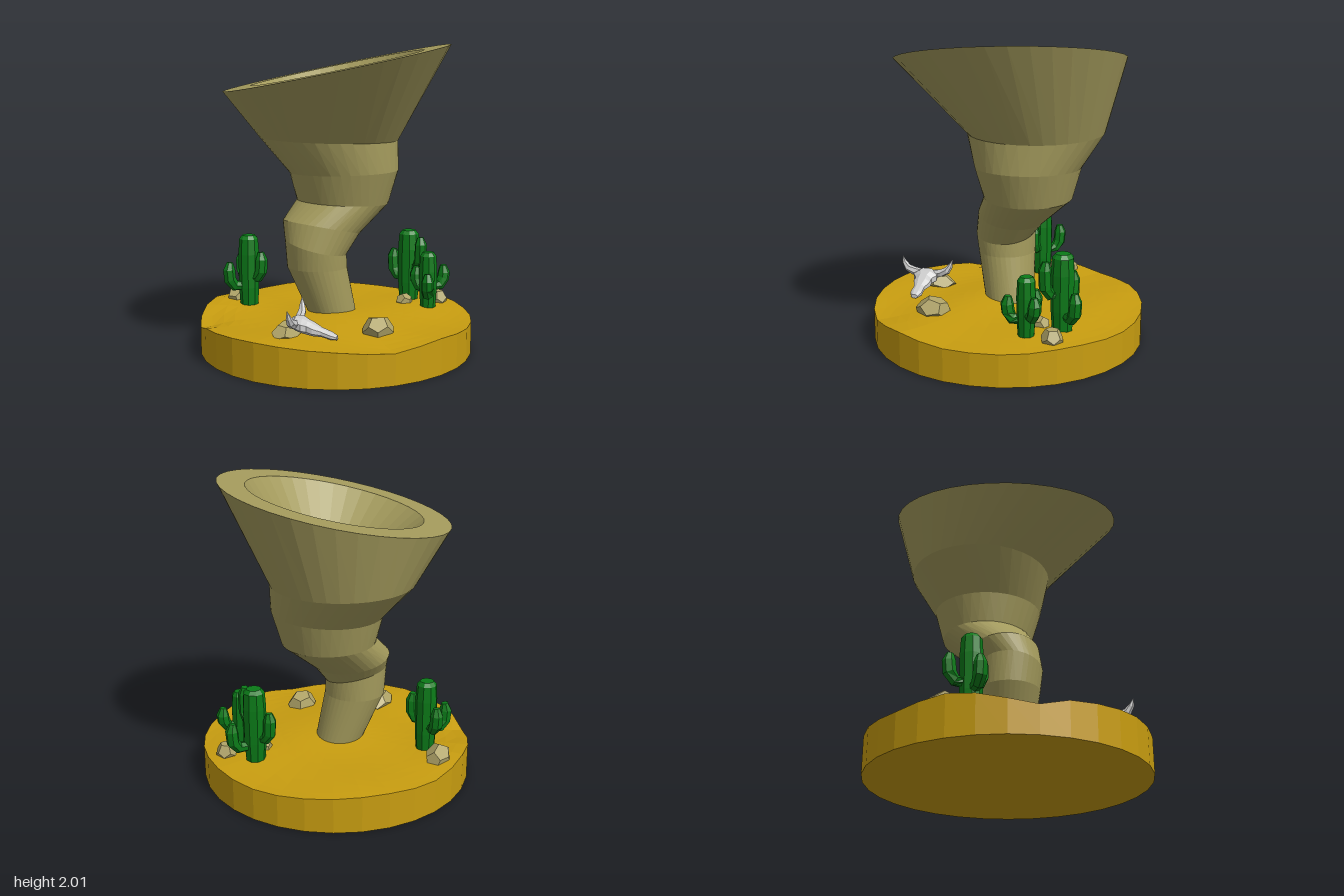
import * as THREE from 'three';

const V = (x, y, z) => new THREE.Vector3(x, y, z);
const mat = (color) => new THREE.MeshStandardMaterial({ color, flatShading: true });
const TAN = mat(0xa39a5c), SAND = mat(0xc89d10), GREEN = mat(0x0b7a18), ROCK = mat(0xb0a468), BONE = mat(0xcccccc);

// Skin a list of equal-sized loops; both ends are closed by fans (endPoint moves the last fan's centre).
function loft(name, rings, material, endPoint) {
  const n = rings[0].length, pos = [], idx = [];
  const mid = (ring) => ring.reduce((s, p) => s.add(p), V(0, 0, 0)).divideScalar(n);
  rings.forEach((ring) => ring.forEach((p) => pos.push(p.x, p.y, p.z)));
  const last = rings.length - 1, c0 = rings.length * n, c1 = c0 + 1;
  [mid(rings[0]), endPoint || mid(rings[last])].forEach((p) => pos.push(p.x, p.y, p.z));
  for (let i = 0; i < n; i++) {
    const j = (i + 1) % n;
    for (let k = 0; k < last; k++) {
      const a = k * n + i, b = k * n + j;
      idx.push(a, b, a + n, b, b + n, a + n);
    }
    idx.push(c0, j, i, c1, last * n + i, last * n + j);
  }
  let g = new THREE.BufferGeometry();
  g.setAttribute('position', new THREE.Float32BufferAttribute(pos, 3));
  g.setIndex(idx);
  g = g.toNonIndexed();
  g.computeVertexNormals();
  const mesh = new THREE.Mesh(g, material);
  mesh.name = name;
  return mesh;
}

// Horizontal loop whose height may depend on x and z.
function level(cx, cz, rx, rz, height, n = 32, twist = 0) {
  return Array.from({ length: n }, (_, i) => {
    const t = (i / n) * Math.PI * 2 + twist;
    const x = cx + rx * Math.sin(t), z = cz + rz * Math.cos(t);
    return V(x, height(x, z), z);
  });
}

// Tapered faceted limb along a list of points.
function limb(name, points, radii, sides, material) {
  const rings = points.map((p, k) => {
    const t = points[Math.min(k + 1, points.length - 1)].clone().sub(points[Math.max(k - 1, 0)]).normalize();
    const e1 = V(0.31, 0.02, 0.17).addScaledVector(t, -V(0.31, 0.02, 0.17).dot(t)).normalize();
    const e2 = t.clone().cross(e1);
    return Array.from({ length: sides }, (_, i) => {
      const a = (i / sides) * Math.PI * 2;
      return p.clone().addScaledVector(e1, radii[k] * Math.cos(a)).addScaledVector(e2, radii[k] * Math.sin(a));
    });
  });
  return loft(name, rings, material);
}

// Dune surface: a low dome, ripples and a few dips at the edge.
function dune(x, z) {
  const bump = (bx, bz, h, w) => h * Math.exp(-((x - bx) ** 2 + (z - bz) ** 2) / (w * w));
  return 0.228 + 0.008 * Math.sin(6 * x + 3 * z) + 0.007 * Math.sin(9 * z - 2 * x)
    + bump(0, 0, 0.03, 0.4) + bump(-0.77, 0.47, -0.05, 0.15) + bump(0.65, 0.65, -0.02, 0.2)
    + bump(0.8, -0.4, -0.02, 0.3) + bump(-0.88, 0, 0.018, 0.2);
}

function sandBase() {
  const rings = [level(0, 0, 0.9, 0.9, () => 0)];
  for (let k = 12; k >= 1; k--) rings.push(level(0, 0, 0.075 * k, 0.075 * k, dune));
  return loft('sandBase', rings, SAND);
}

function tornado() {
  // centre x, centre z, radius x, radius z, height, slope along x, slope along z
  const bands = [
    [-0.02, -0.005, 0.155, 0.16, 0.21, 0, 0],
    [-0.11, 0.06, 0.2, 0.19, 0.55, 0, 0],
    [-0.115, 0.07, 0.205, 0.2, 0.69, -0.25, 0.05],
    [-0.1, 0.015, 0.26, 0.22, 0.81, -0.11, 0.2],
    [-0.01, -0.143, 0.31, 0.288, 0.967, -0.03, 0.03],
    [0, -0.145, 0.367, 0.345, 1.17, 0.03, 0],
    [-0.112, -0.15, 0.468, 0.45, 1.385, -0.02, 0.01],
    [0, -0.015, 0.737, 0.75, 1.857, 0.183, -0.093],
    [0, -0.02, 0.565, 0.555, 1.857, 0.183, -0.093],
  ];
  const rings = bands.map(([cx, cz, rx, rz, y, sx, sz], k) =>
    level(cx, cz, rx, rz, (x, z) => y + sx * (x - cx) + sz * (z - cz), 36, 0.06 * Math.min(k, 7)));
  // the funnel's hollow narrows to a point
  return loft('tornadoFunnel', rings, TAN, V(0.06, 1.26, -0.08));
}

// Cactus with a trunk and upturned arms given as [dx, dz, bottom, top].
function cactus(x, z, r, top, arms) {
  const g = new THREE.Group();
  g.name = 'cactus';
  const heights = [0.2, 0.36, top - 0.13, top - 0.025, top];
  const radii = [0.85, 1, 1.03, 0.93, 0.65].map((s) => s * r);
  g.add(limb('cactusTrunk', heights.map((y) => V(x, y, z)), radii, 9, GREEN));
  for (const [dx, dz, low, high] of arms) {
    const at = (f, y) => V(x + dx * f, y, z + dz * f);
    const path = [at(0.3, low + 0.03), at(0.75, low + 0.035), at(1, low + 0.08), at(1.05, high - 0.05), at(1, high)];
    g.add(limb('cactusArm', path, [0.03, 0.038, 0.043, 0.042, 0.022], 7, GREEN));
  }
  return g;
}

function rock(x, z, sx, sy, sz, turn) {
  const g = new THREE.DodecahedronGeometry(1, 0);
  g.rotateX(turn * 0.6);
  g.rotateY(turn);
  g.scale(sx, sy, sz);
  const m = new THREE.Mesh(g, ROCK);
  m.name = 'rock';
  m.position.set(x, 0.245, z);
  return m;
}

// Horned skull, modelled facing +x and then turned a little.
function skull() {
  const g = new THREE.Group();
  g.name = 'skull';
  // x, middle height, half width, half height
  const sections = [
    [-0.05, 0.085, 0.04, 0.028], [-0.02, 0.085, 0.075, 0.042], [0.025, 0.075, 0.085, 0.046],
    [0.055, 0.062, 0.058, 0.043], [0.09, 0.05, 0.06, 0.038], [0.14, 0.034, 0.038, 0.026],
    [0.2, 0.015, 0.04, 0.022], [0.235, 0.005, 0.024, 0.013],
  ];
  const rings = sections.map(([x, y, w, h]) => Array.from({ length: 8 }, (_, i) => {
    const a = ((i + 0.5) / 8) * Math.PI * 2;
    return V(x, y + h * 1.08 * Math.cos(a), w * 1.08 * Math.sin(a));
  }));
  g.add(loft('skullHead', rings, BONE));
  for (const s of [-1, 1]) {
    const path = [V(-0.02, 0.09, s * 0.05), V(-0.02, 0.1, s * 0.1), V(-0.02, 0.12, s * 0.145), V(-0.025, 0.155, s * 0.17), V(-0.03, 0.2, s * 0.185)];
    g.add(limb('horn', path, [0.03, 0.029, 0.026, 0.018, 0.002], 6, BONE));
  }
  g.position.set(0.015, 0.235, 0.63);
  g.rotation.y = 0.17;
  return g;
}

export function createModel() {
  const model = new THREE.Group();
  model.name = 'desertTornado';
  model.add(sandBase(), tornado(), skull());
  model.add(
    cactus(-0.63, 0.03, 0.07, 0.72, [[-0.1, -0.09, 0.38, 0.58], [-0.095, 0.1, 0.34, 0.54], [0.1, 0.02, 0.4, 0.61]]),
    cactus(0.335, -0.54, 0.074, 0.725, [[-0.115, -0.02, 0.36, 0.58], [0.105, 0.07, 0.44, 0.69], [0.095, -0.12, 0.3, 0.51]]),
    cactus(0.525, -0.38, 0.06, 0.61, [[0.08, -0.09, 0.34, 0.51], [0.03, 0.11, 0.3, 0.48], [-0.09, -0.02, 0.33, 0.5]]),
  );
  model.add(
    rock(0.42, 0.34, 0.1, 0.09, 0.12, 0.4),
    rock(-0.08, 0.6, 0.09, 0.07, 0.15, 1.1),
    rock(-0.76, -0.08, 0.085, 0.095, 0.12, 2.0),
    rock(0.54, -0.56, 0.07, 0.075, 0.07, 0.9),
    rock(0.35, -0.4, 0.06, 0.06, 0.06, 2.7),
  );
  return model;
}
